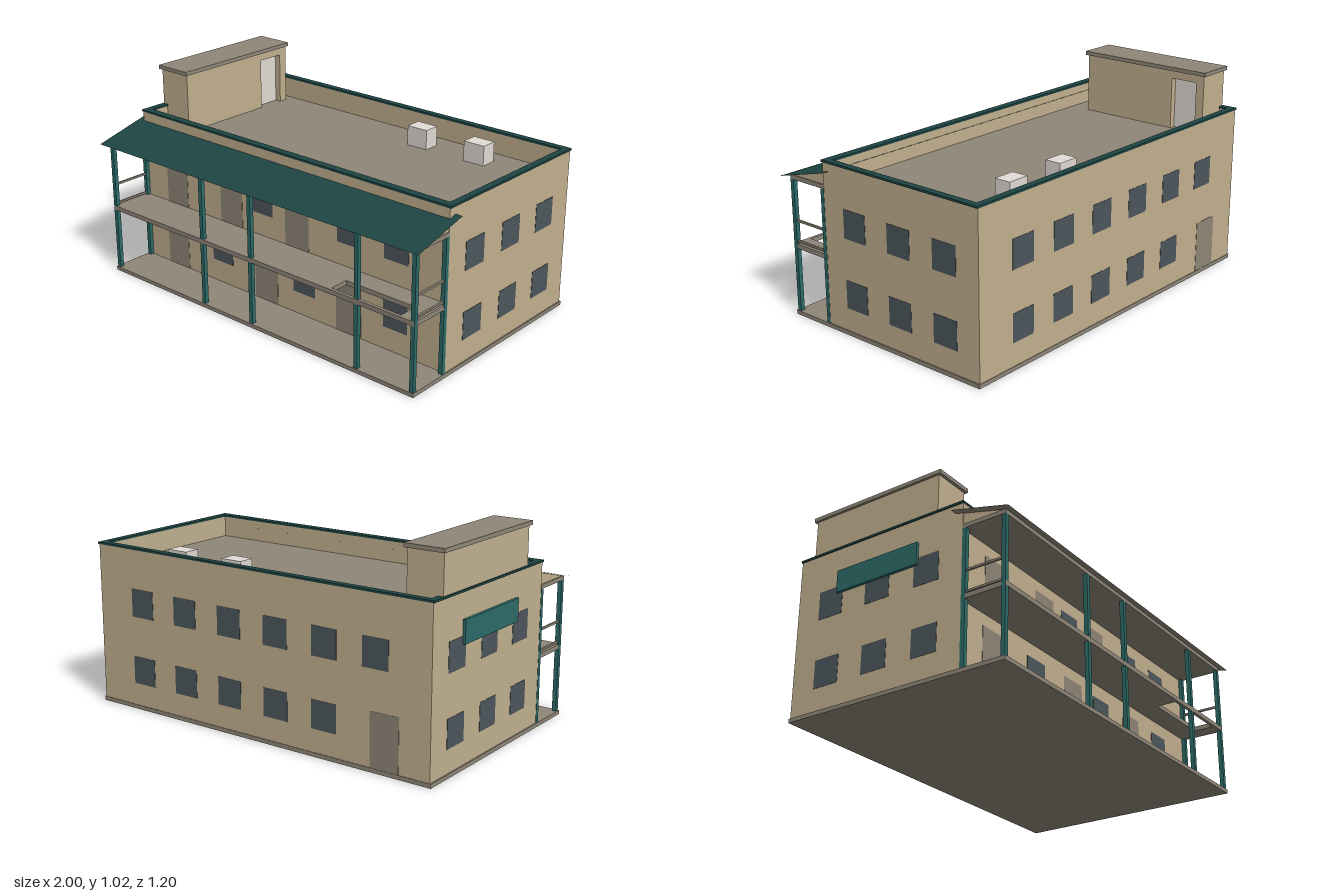
import * as THREE from 'three';

const mat = (name, color) => {
  const m = new THREE.MeshStandardMaterial({ color });
  m.name = name;
  return m;
};

export function createModel() {
  const model = new THREE.Group();
  model.name = 'building';

  const wall = mat('tan wall', 0xc3b190);
  const stone = mat('grey stone', 0x90877a);
  const roofTeal = mat('dark teal', 0x1e4543);
  const postTeal = mat('post teal', 0x2c6c69);
  const glass = mat('window slate', 0x4d575d);
  const doorGrey = mat('door grey', 0x8f8677);
  const pale = mat('pale grey', 0xe2ddd5);

  const add = (name, geometry, material, parent = model) => {
    const mesh = new THREE.Mesh(geometry, material);
    mesh.name = name;
    parent.add(mesh);
    return mesh;
  };
  // Box given by its extents on each axis
  const box = (name, material, [x0, x1], [y0, y1], [z0, z1], parent) => {
    const g = new THREE.BoxGeometry(x1 - x0, y1 - y0, z1 - z0);
    g.translate((x0 + x1) / 2, (y0 + y1) / 2, (z0 + z1) / 2);
    return add(name, g, material, parent);
  };
  // Flat slab with a rectangular hole; rectangles are [x0, x1, z0, z1]
  const rect = (C, [x0, x1, z0, z1]) =>
    new C([[x0, z0], [x1, z0], [x1, z1], [x0, z1]].map((p) => new THREE.Vector2(...p)));
  const holedSlab = (name, material, outer, hole, y0, y1) => {
    const shape = rect(THREE.Shape, outer);
    shape.holes.push(rect(THREE.Path, hole));
    const g = new THREE.ExtrudeGeometry(shape, { depth: y1 - y0, bevelEnabled: false });
    g.rotateX(Math.PI / 2).translate(0, y1, 0);
    return add(name, g, material);
  };

  // Ground slab and two-storey body up to the roof deck
  const W = 0.964, DECK = 0.7, TOP = 0.805;
  box('groundSlab', stone, [-0.97, 0.97], [0, 0.02], [-0.6, 0.57]);
  box('body', wall, [-W, W], [0.02, DECK - 0.005], [-0.597, 0.34]);
  box('roofDeck', stone, [-0.94, 0.94], [DECK - 0.005, DECK], [-0.57, 0.31]);

  // Parapet ring and its coping
  holedSlab('parapet', wall, [-W, W, -0.597, 0.34], [-0.938, 0.938, -0.568, 0.307], DECK - 0.005, TOP);
  holedSlab('parapetCoping', roofTeal, [-0.97, 0.97, -0.6, 0.343], [-0.935, 0.935, -0.565, 0.303], TOP, TOP + 0.01);

  // Stair tower with a recessed door facing the roof
  const tower = new THREE.Group();
  tower.name = 'stairTower';
  model.add(tower);
  const tx = [-0.963, -0.782], ty = [DECK, 0.96];
  box('towerFront', wall, tx, ty, [-0.33, 0.2], tower);
  box('towerBackJamb', wall, tx, ty, [-0.52, -0.475], tower);
  box('towerRecessWall', wall, [-0.963, -0.82], ty, [-0.475, -0.33], tower);
  box('towerLintel', wall, tx, [0.96, 1.0], [-0.52, 0.2], tower);
  box('towerDoor', pale, [-0.82, -0.815], ty, [-0.475, -0.33], tower);
  box('towerCap', stone, [-0.973, -0.772], [1.0, 1.02], [-0.532, 0.215], tower);

  // Rooftop units
  for (const x of [0.227, 0.567]) {
    box('roofUnit', pale, [x - 0.058, x + 0.058], [DECK, 0.8], [-0.47, -0.385]);
  }

  // Balcony floor with a stair opening
  holedSlab('balconyFloor', stone, [-0.965, 0.965, 0.335, 0.566], [0.49, 0.88, 0.45, 0.55], 0.337, 0.36);

  // Porch ceiling slab and gable fill
  box('porchCeiling', stone, [-0.966, 0.966], [0.676, 0.697], [0.338, 0.565]);
  const gable = new THREE.Shape([[-0.34, 0.696], [-0.34, 0.754], [-0.563, 0.696]]
    .map((p) => new THREE.Vector2(...p)));
  const gableGeo = new THREE.ExtrudeGeometry(gable, { depth: 1.92, bevelEnabled: false });
  gableGeo.rotateY(Math.PI / 2).translate(-0.96, 0, 0);
  add('canopyGable', gableGeo, wall);

  // Sloping canopy sheet with a grey soffit just below it
  const rise = 0.077, run = 0.3;
  const sheet = (name, material, flip, y) => {
    const g = new THREE.PlaneGeometry(2, Math.hypot(rise, run));
    if (flip) g.rotateY(Math.PI);
    g.rotateX(-Math.PI / 2 + Math.atan2(rise, run)).translate(0, y + rise / 2, 0.45);
    add(name, g, material);
  };
  sheet('canopy', roofTeal, false, 0.69);
  sheet('canopySoffit', stone, true, 0.687);

  // Posts: five along the front, one against the wall at each end
  const post = (x, z) => box('post', postTeal, [x - 0.0105, x + 0.0105], [0.02, 0.677], [z - 0.0105, z + 0.0105]);
  for (const x of [-0.955, -0.322, -0.002, 0.642, 0.955]) post(x, 0.555);
  for (const x of [-0.955, 0.955]) {
    post(x, 0.349);
    // End rails of the balcony
    for (const y of [0.372, 0.474]) {
      box('endRail', stone, [x - 0.005, x + 0.005], [y - 0.005, y + 0.005], [0.345, 0.56]);
    }
  }

  // Openings as thin plates; u is the position along each wall
  const T = 0.0015;
  const UP = [0.471, 0.611], LOW = [0.132, 0.27];
  const span = (c, w) => [c - w / 2, c + w / 2];
  const front = (name, m, u, y) => box(name, m, u, y, [0.34 - T, 0.34 + T]);
  const back = (name, m, u, y) => box(name, m, u, y, [-0.597 - T, -0.597 + T]);
  const flank = (name, m, s, u, y) => box(name, m, [s * W - T, s * W + T], y, u);

  for (const c of [-0.135, 0.41, 0.684]) front('frontWindow', glass, span(c, 0.138), UP);
  for (const c of [-0.413, 0.133, 0.684]) front('frontWindow', glass, span(c, 0.138), LOW);
  for (const c of [-0.728, -0.343, 0.09]) front('frontDoor', doorGrey, span(c, 0.148), [0.36, 0.623]);
  for (const c of [-0.738, -0.112, 0.41]) front('frontDoor', doorGrey, span(c, 0.15), [0.02, 0.28]);

  for (const s of [-1, 1]) {
    for (const c of [0.146, -0.129, -0.401]) {
      for (const y of [UP, LOW]) flank('sideWindow', glass, s, span(c, 0.137), y);
    }
  }

  for (let i = 0; i < 6; i++) {
    const c = 0.685 - i * 0.273;
    back('backWindow', glass, span(c, 0.137), UP);
    if (i < 5) back('backWindow', glass, span(c, 0.137), LOW);
  }
  back('backDoor', doorGrey, span(-0.73, 0.15), [0.02, 0.28]);

  // Plain board on the right-hand wall
  box('sideBoard', postTeal, [-0.978, -W], [0.575, 0.685], [-0.36, 0.1]);

  return model;
}
